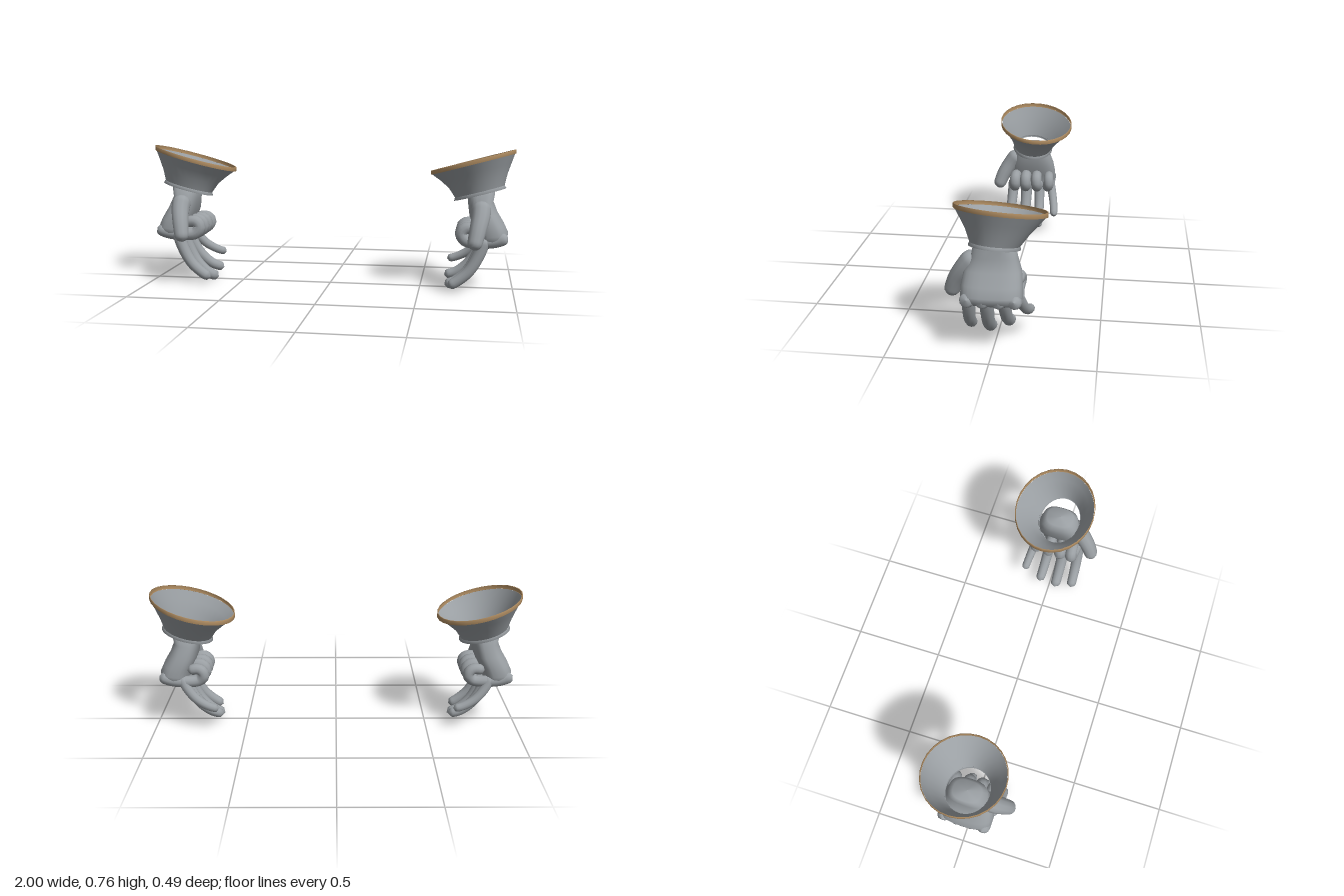
import * as THREE from 'three';
import { mergeVertices } from 'three/addons/utils/BufferGeometryUtils.js';

// Skin through oval rings listed bottom to top: [cx, cy, cz, rx, rz].
// slopeX and slopeZ tilt each ring; power > 2 makes the ovals squarer.
function loft(rings, { seg = 28, power = 2, slopeX = 0, slopeZ = 0 } = {}) {
  const pos = [], index = [];
  const bend = (v) => Math.sign(v) * Math.abs(v) ** (2 / power);
  rings.forEach(([cx, cy, cz, rx, rz], i) => {
    for (let j = 0; j < seg; j++) {
      const a = (j / seg) * Math.PI * 2;
      const dx = rx * bend(Math.cos(a)), dz = rz * bend(Math.sin(a));
      pos.push(cx + dx, cy + slopeX * dx + slopeZ * dz, cz + dz);
      if (i === rings.length - 1) continue;
      const p = i * seg + j, q = i * seg + ((j + 1) % seg);
      index.push(p, p + seg, q, q, p + seg, q + seg);
    }
  });
  const g = new THREE.BufferGeometry();
  g.setAttribute('position', new THREE.Float32BufferAttribute(pos, 3));
  g.setIndex(index);
  g.computeVertexNormals();
  return g;
}

// Round-ended finger along a path, tapering from radius r0 to r1
function finger(points, r0, r1) {
  const curve = new THREE.CatmullRomCurve3(points.map((p) => new THREE.Vector3(...p)));
  const n = 28, sides = 12, len = curve.getLength();
  const g = new THREE.TubeGeometry(curve, n, 1, sides, false);
  const pos = g.attributes.position, v = new THREE.Vector3();
  for (let i = 0; i <= n; i++) {
    const u = i / n, c = curve.getPointAt(u);
    const r = THREE.MathUtils.lerp(r0, r1, u);
    const d = Math.min(1, (Math.min(u, 1 - u) * len) / r);
    const scale = Math.max(0.0005, r * Math.sqrt(1 - (1 - d) ** 2));
    for (let j = 0; j <= sides; j++) {
      const k = i * (sides + 1) + j;
      v.fromBufferAttribute(pos, k).sub(c).multiplyScalar(scale).add(c);
      pos.setXYZ(k, v.x, v.y, v.z);
    }
  }
  g.deleteAttribute('uv');
  g.deleteAttribute('normal');
  const merged = mergeVertices(g, 1e-5);
  merged.computeVertexNormals();
  return merged;
}

export function createModel() {
  const grey = new THREE.MeshStandardMaterial({ color: 0x9a9fa3, side: THREE.DoubleSide });
  grey.name = 'glove grey';
  const tan = new THREE.MeshStandardMaterial({ color: 0xb08d62, side: THREE.DoubleSide });
  tan.name = 'rim tan';

  function createGlove(name) {
    const glove = new THREE.Group();
    glove.name = name;
    const add = (part, geometry, material = grey) => {
      const m = new THREE.Mesh(geometry, material);
      m.name = part;
      glove.add(m);
    };

    // Open flared cuff with a lip below and a thin rim above
    const tilt = { slopeX: 0.27, slopeZ: 0.08 };
    add('cuff', loft([
      [0.813, 0.515, -0.006, 0.129, 0.116],
      [0.803, 0.575, -0.017, 0.155, 0.148],
      [0.79, 0.622, -0.024, 0.187, 0.182],
      [0.775, 0.665, -0.03, 0.221, 0.215],
    ], tilt));
    add('cuffLip', loft([
      [0.815, 0.503, -0.005, 0.129, 0.114],
      [0.815, 0.503, -0.005, 0.138, 0.123],
      [0.813, 0.52, -0.006, 0.131, 0.118],
    ], tilt));
    add('cuffRim', loft([
      [0.775, 0.665, -0.03, 0.221, 0.216],
      [0.775, 0.663, -0.03, 0.226, 0.22],
      [0.775, 0.685, -0.03, 0.226, 0.22],
      [0.775, 0.685, -0.03, 0.221, 0.216],
    ], tilt), tan);

    // Wrist and palm, widening down to the knuckles
    add('palm', loft([
      [0.885, 0.248, 0, 0.001, 0.001],
      [0.885, 0.25, 0, 0.06, 0.125],
      [0.885, 0.268, 0, 0.08, 0.143],
      [0.885, 0.295, 0, 0.083, 0.146],
      [0.867, 0.34, 0.001, 0.08, 0.144],
      [0.836, 0.4, 0, 0.075, 0.135],
      [0.82, 0.46, -0.005, 0.067, 0.11],
      [0.822, 0.505, -0.006, 0.073, 0.101],
      [0.822, 0.53, -0.006, 0.055, 0.075],
      [0.82, 0.542, -0.006, 0.001, 0.001],
    ], { power: 2.7, slopeX: 0.12 }));

    // Thumb hanging down along the front of the palm
    add('thumb', finger([
      [0.822, 0.47, 0.075], [0.82, 0.4, 0.132], [0.805, 0.33, 0.178], [0.785, 0.237, 0.217],
    ], 0.055, 0.037));

    // Four curled fingers: out from the knuckles, up, and back to the palm
    [[0.108, 0.037], [0.036, 0.038], [-0.04, 0.037], [-0.113, 0.034]].forEach(([z, r], i) => {
      const out = i === 3 ? -0.012 : 0;
      add('curledFinger' + (i + 1), finger([
        [0.965, 0.295, z], [0.9, 0.27, z], [0.83, 0.262, z], [0.745, 0.268, z * 0.95],
        [0.72, 0.305, z * 0.92 + out], [0.745, 0.333, z * 0.9 + out], [0.81, 0.325, z * 0.88 + out],
      ], r, r * 0.85));
    });

    // Four long fingers, sweeping down and inward: z at root, z at tip, tip x, tip y, radius
    [
      [0.118, 0.134, 0.655, 0.025, 0.032],
      [0.034, 0.038, 0.635, 0.01, 0.034],
      [-0.045, -0.058, 0.63, 0.045, 0.031],
      [-0.112, -0.158, 0.643, 0.117, 0.026],
    ].forEach(([z0, z1, x, y, r], i) => {
      const at = (t, px) => [px, THREE.MathUtils.lerp(0.29, y, t), THREE.MathUtils.lerp(z0, z1, t)];
      add('longFinger' + (i + 1), finger([
        at(0, 0.845), at(0.35, 0.815), at(0.7, 0.762), at(0.92, 0.695), at(1, x),
      ], r * 1.1, r * 0.85));
    });
    return glove;
  }

  const model = new THREE.Group();
  model.name = 'gauntlets';
  const right = createGlove('rightGlove');
  right.scale.x = -1;
  model.add(createGlove('leftGlove'), right);
  return model;
}
